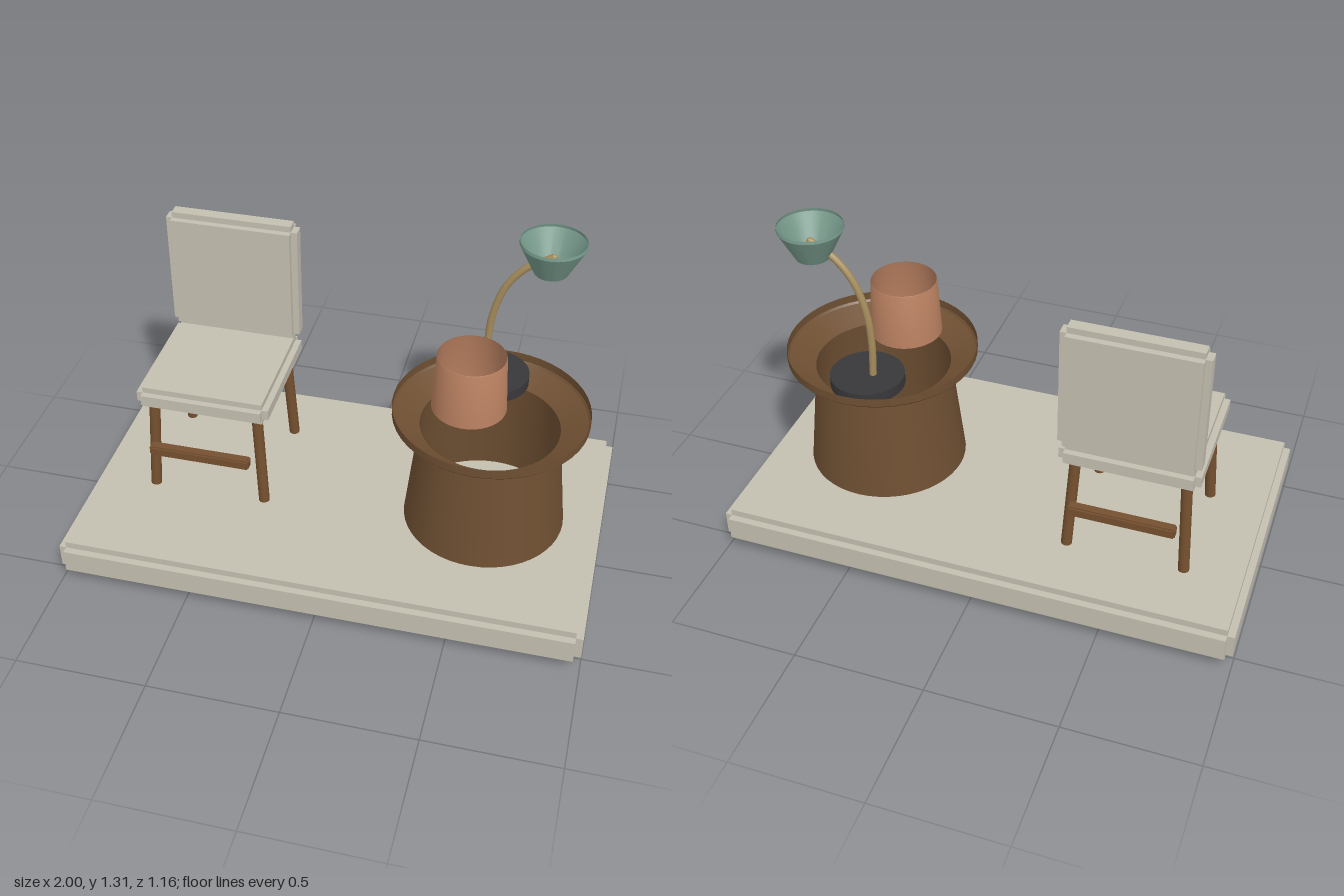
import * as THREE from 'three';
import { toCreasedNormals } from 'three/addons/utils/BufferGeometryUtils.js';

const flat = (name, color, side = THREE.FrontSide) => {
  const m = new THREE.MeshStandardMaterial({ color, side });
  m.name = name;
  return m;
};

export function createModel() {
  const root = new THREE.Group();
  root.name = 'chairAndTableDiorama';
  const linen = flat('linen', 0xc4bfb0);
  const walnut = flat('walnut', 0x6e4f32, THREE.DoubleSide);
  const legWood = flat('legWood', 0x75502f);
  const clay = flat('clay', 0xb98060, THREE.DoubleSide);
  const sage = flat('sage', 0x76998a, THREE.DoubleSide);
  const brass = flat('brass', 0xa58c5c);
  const charcoal = flat('charcoal', 0x38383a);

  const add = (parent, name, geometry, material, x = 0, y = 0, z = 0) => {
    const mesh = new THREE.Mesh(geometry, material);
    mesh.name = name;
    mesh.position.set(x, y, z);
    parent.add(mesh);
    return mesh;
  };

  const group = (name) => {
    const g = new THREE.Group();
    g.name = name;
    root.add(g);
    return g;
  };

  // Block with stepped edges: three boxes, each reaching full size on one axis
  const steppedBlock = (parent, name, size, centre, step, material) => {
    const g = new THREE.Group();
    g.name = name;
    g.position.set(...centre);
    for (let axis = 0; axis < 3; axis++) {
      const s = size.map((v, i) => (i === axis ? v : v - 2 * step));
      add(g, name + 'Layer', new THREE.BoxGeometry(...s), material);
    }
    parent.add(g);
  };

  // Turned open shell from [radius, height] points
  const turned = (parent, name, points, material, x, z) => {
    const lathe = new THREE.LatheGeometry(points.map(([r, y]) => new THREE.Vector2(r, y)), 48);
    return add(parent, name, toCreasedNormals(lathe, 0.4), material, x, 0, z);
  };

  // Platform
  const platform = group('platform');
  steppedBlock(platform, 'slab', [2, 0.147, 1.16], [0, 0.112, 0], 0.027, linen);
  steppedBlock(platform, 'plinth', [1.87, 0.042, 1.05], [0, 0.021, 0], 0.011, charcoal);

  // Chair
  const chair = group('chair');
  const cx = -0.53, cz = -0.084;
  steppedBlock(chair, 'seat', [0.52, 0.09, 0.525], [cx, 0.625, cz], 0.024, linen);
  steppedBlock(chair, 'backrest', [0.52, 0.51, 0.095], [cx, 0.925, -0.317], 0.024, linen);
  for (const sx of [-1, 1]) {
    for (const sz of [-1, 1]) {
      const top = new THREE.Vector3(cx + sx * 0.204, 0.6, cz + sz * 0.202);
      const foot = new THREE.Vector3(cx + sx * 0.225, 0.187, cz + sz * 0.222);
      const leg = add(chair, 'leg', new THREE.CylinderGeometry(0.021, 0.021, top.distanceTo(foot), 16), legWood);
      leg.position.copy(top).add(foot).multiplyScalar(0.5);
      leg.quaternion.setFromUnitVectors(new THREE.Vector3(0, 1, 0), top.clone().sub(foot).normalize());
    }
  }
  for (const sz of [-1, 1]) {
    steppedBlock(chair, 'stretcher', [0.395, 0.042, 0.042], [cx, 0.43, cz + sz * 0.3], 0.006, legWood);
  }

  // Hollow pedestal table with a flared rim
  turned(group('table'), 'tableShell',
    [[0.31, 0.185], [0.262, 0.62], [0.36, 0.664], [0.367, 0.672], [0.367, 0.705]], walnut, 0.545, 0);

  // Cup
  turned(group('cup'), 'cupShell',
    [[0, 0.717], [0.09, 0.717], [0.108, 0.722], [0.138, 0.745], [0.126, 0.965], [0.124, 0.97]], clay, 0.47, 0.065);

  // Lamp
  const lamp = group('lamp');
  const lz = -0.21;
  add(lamp, 'lampFoot', new THREE.CylinderGeometry(0.14, 0.14, 0.042, 40), charcoal, 0.515, 0.691, lz);
  const path = new THREE.CatmullRomCurve3([
    [0.492, 0.705], [0.488, 0.85], [0.499, 0.97], [0.54, 1.1], [0.61, 1.19], [0.7, 1.245],
  ].map(([x, y]) => new THREE.Vector3(x, y, lz)));
  add(lamp, 'stem', new THREE.TubeGeometry(path, 40, 0.0135, 12), brass);
  add(lamp, 'stemTip', new THREE.SphereGeometry(0.0135, 12, 8), brass, 0.7, 1.245, lz);
  turned(lamp, 'shade', [[0.062, 1.183], [0.121, 1.3], [0.119, 1.312]], sage, 0.695, lz);

  return root;
}
